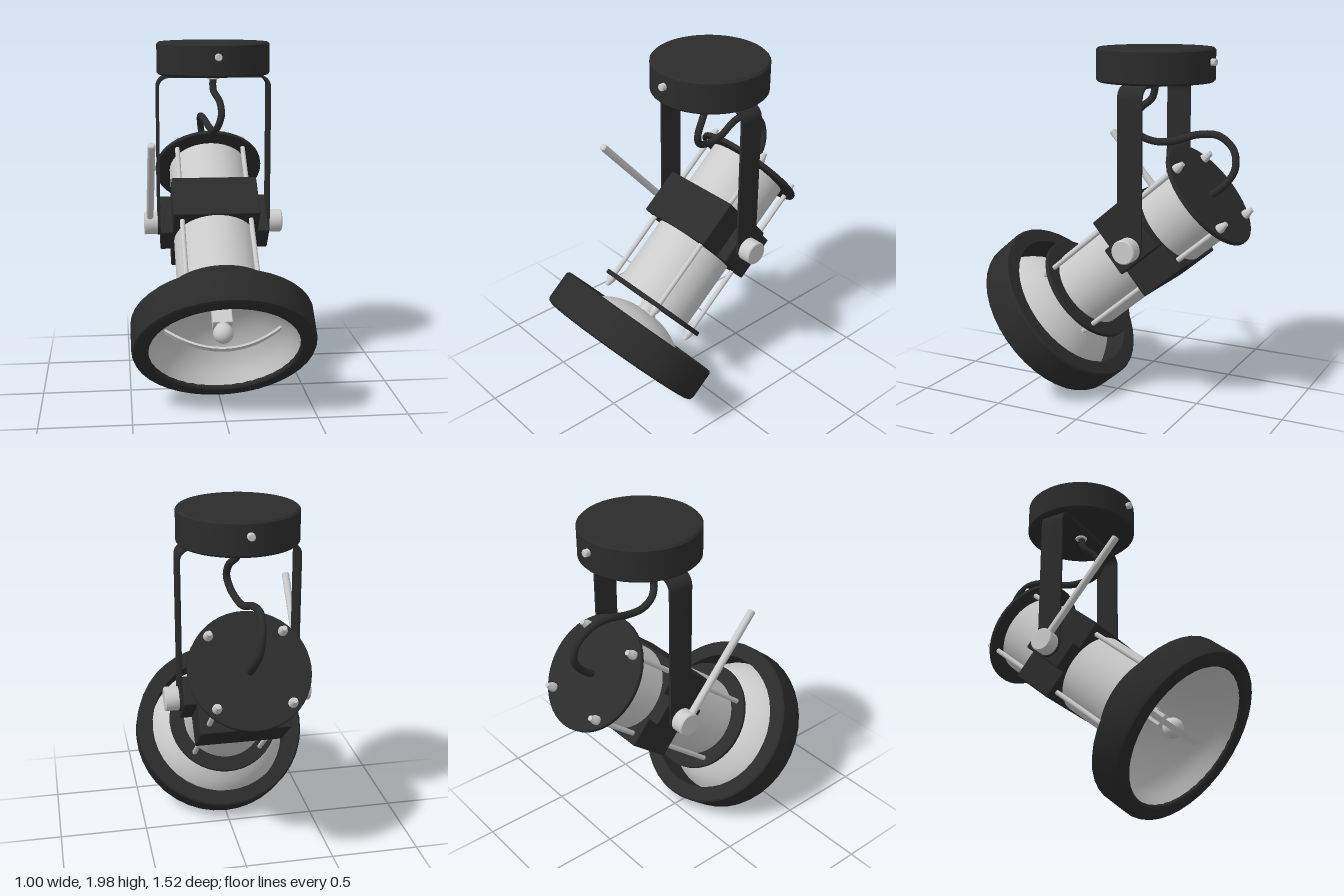
import * as THREE from 'three';
import { RoundedBoxGeometry } from 'three/addons/geometries/RoundedBoxGeometry.js';
import { toCreasedNormals } from 'three/addons/utils/BufferGeometryUtils.js';

const grey = new THREE.MeshStandardMaterial({ color: 0xcccccc });
const greyOpen = new THREE.MeshStandardMaterial({ color: 0xcccccc, side: THREE.DoubleSide });
const black = new THREE.MeshStandardMaterial({ color: 0x2b2b2b });

function add(parent, name, geometry, material, x = 0, y = 0, z = 0) {
  const mesh = new THREE.Mesh(geometry, material);
  mesh.name = name;
  mesh.position.set(x, y, z);
  parent.add(mesh);
  return mesh;
}

// Lathe around y from [radius, height] pairs, keeping sharp edges
function lathe(points, segments = 40) {
  const g = new THREE.LatheGeometry(points.map(p => new THREE.Vector2(...p)), segments);
  return toCreasedNormals(g, 0.6);
}

// Disc or rod with slightly bevelled rims, from height a to b
function disc(r, a, b, bevel = 0.006, segments = 40) {
  return lathe([[0, a], [r - bevel, a], [r, a + bevel], [r, b - bevel], [r - bevel, b], [0, b]], segments);
}

export function createModel() {
  const model = new THREE.Group();
  model.name = 'spotlight';
  const pivot = new THREE.Vector3(0, 0.96, -0.23);

  // Ceiling canopy with two side screws and a cable collar
  add(model, 'canopy', disc(0.32, 1.82, 2, 0.01, 48), black, 0, 0, pivot.z);
  for (const s of [1, -1]) {
    const screw = add(model, 'canopyScrew', disc(0.02, 0, 0.035, 0.004, 16), grey, 0, 1.93, pivot.z + s * 0.312);
    screw.rotation.x = s * Math.PI / 2;
  }
  add(model, 'cableCollar', disc(0.034, 1.79, 1.825, 0.004, 20), grey, 0, 0, pivot.z);

  // U-shaped yoke cut from a flat strip
  const out = 0.325, inn = 0.311, top = 1.816, r = 0.07, t = out - inn;
  const u = new THREE.Shape();
  u.moveTo(out, pivot.y);
  u.lineTo(out, top - r);
  u.absarc(out - r, top - r, r, 0, Math.PI / 2, false);
  u.lineTo(-out + r, top);
  u.absarc(-out + r, top - r, r, Math.PI / 2, Math.PI, false);
  u.lineTo(-out, pivot.y);
  u.lineTo(-inn, pivot.y);
  u.lineTo(-inn, top - r);
  u.absarc(-out + r, top - r, r - t, Math.PI, Math.PI / 2, true);
  u.lineTo(out - r, top - t);
  u.absarc(out - r, top - r, r - t, Math.PI / 2, 0, true);
  u.lineTo(inn, pivot.y);
  const yoke = new THREE.ExtrudeGeometry(u, { depth: 0.14, bevelEnabled: false, curveSegments: 10 });
  add(model, 'yoke', toCreasedNormals(yoke, 0.5), black, 0, 0, pivot.z - 0.07);

  // Round yoke ends and clamp knobs
  for (const s of [1, -1]) {
    const end = add(model, 'yokeEnd', new THREE.CylinderGeometry(0.07, 0.07, t, 32), black, s * (out + inn) / 2, pivot.y, pivot.z);
    end.rotation.z = Math.PI / 2;
    const knob = add(model, 'knob', disc(0.066, 0.322, 0.402, 0.006, 32), grey, 0, pivot.y, pivot.z);
    knob.rotation.z = -s * Math.PI / 2;
  }

  // Aiming lever on the right knob
  const lever = add(model, 'lever', disc(0.021, 0, 0.69, 0.006, 16), grey, -0.37, pivot.y, pivot.z);
  lever.rotation.x = Math.atan2(0.45, 0.52);

  // Supply cable looping into the back plate
  const path = new THREE.CatmullRomCurve3([
    [0, 1.81, -0.23], [0, 1.73, -0.21], [0.03, 1.67, -0.15], [0.037, 1.6, -0.115], [0.02, 1.53, -0.14],
    [0, 1.495, -0.22], [-0.01, 1.5, -0.33], [-0.035, 1.54, -0.46], [-0.045, 1.54, -0.58],
    [-0.035, 1.47, -0.67], [-0.02, 1.37, -0.685], [0, 1.28, -0.63], [0, 1.21, -0.54]
  ].map(p => new THREE.Vector3(...p)));
  add(model, 'cable', new THREE.TubeGeometry(path, 80, 0.02, 12), black);

  // Tilted lamp head: +z is the beam direction
  const head = new THREE.Group();
  head.name = 'lampHead';
  head.position.copy(pivot);
  head.rotation.x = 40 * Math.PI / 180;
  model.add(head);
  const turned = (name, geometry, material, x = 0, y = 0) => {
    const mesh = add(head, name, geometry, material, x, y, 0);
    mesh.rotation.x = Math.PI / 2;
    return mesh;
  };

  turned('housing', disc(0.235, -0.41, 0.54, 0.004, 48), grey);
  turned('backPlate', disc(0.32, -0.43, -0.405, 0.004, 48), black);
  turned('frontPlate', disc(0.32, 0.535, 0.56, 0.004, 48), black);

  // Clamp block with side pads
  add(head, 'clampBlock', new RoundedBoxGeometry(0.49, 0.49, 0.27, 2, 0.008), black);
  for (const s of [1, -1]) {
    add(head, 'clampPad', new RoundedBoxGeometry(0.08, 0.16, 0.27, 2, 0.008), black, s * 0.272, 0, 0);
  }

  // Four tie rods with domed nuts at both ends
  for (const x of [-0.195, 0.195]) {
    for (const y of [-0.192, 0.192]) {
      turned('tieRod', new THREE.CylinderGeometry(0.014, 0.014, 1.1, 12).translate(0, 0.065, 0), grey, x, y);
      const nut = [[0.025, 0], [0.025, 0.02], [0.018, 0.038], [0.013, 0.055], [0, 0.06]];
      turned('frontNut', lathe(nut, 16).translate(0, 0.558, 0), grey, x, y);
      turned('backNut', lathe(nut, 16).rotateX(Math.PI).translate(0, -0.428, 0), grey, x, y);
    }
  }

  // Lamp neck, reflector bowl and black rim
  turned('neck', disc(0.045, 0.55, 0.63, 0.004, 24), grey);
  const bowl = new THREE.SplineCurve([[0.03, 0.612], [0.1, 0.617], [0.19, 0.645], [0.28, 0.7], [0.36, 0.775], [0.415, 0.865]]
    .map(p => new THREE.Vector2(...p)));
  turned('reflector', new THREE.LatheGeometry(bowl.getPoints(20), 48), greyOpen);
  turned('rim', lathe([[0.41, 0.68], [0.49, 0.68], [0.5, 0.69], [0.5, 0.855], [0.493, 0.872], [0.475, 0.88],
    [0.42, 0.88], [0.41, 0.87], [0.41, 0.68]], 40), black);

  // Bulb, socket and curved strap across the reflector
  add(head, 'socket', new RoundedBoxGeometry(0.11, 0.07, 0.11, 2, 0.006), grey, 0, 0, 0.66);
  turned('bulbStem', disc(0.035, 0.7, 0.76, 0.004, 20), grey);
  add(head, 'bulb', new THREE.SphereGeometry(0.056, 28, 18), grey, 0, 0, 0.765);
  const strap = new THREE.Shape();
  strap.moveTo(-0.32, 0.745);
  strap.quadraticCurveTo(0, 0.995, 0.32, 0.745);
  strap.lineTo(0.312, 0.735);
  strap.quadraticCurveTo(0, 0.98, -0.312, 0.735);
  const strapGeo = new THREE.ExtrudeGeometry(strap, { depth: 0.03, bevelEnabled: false, curveSegments: 24 });
  strapGeo.rotateX(Math.PI / 2).translate(0, 0.015, 0);
  add(head, 'strap', toCreasedNormals(strapGeo, 0.5), grey);

  return model;
}
